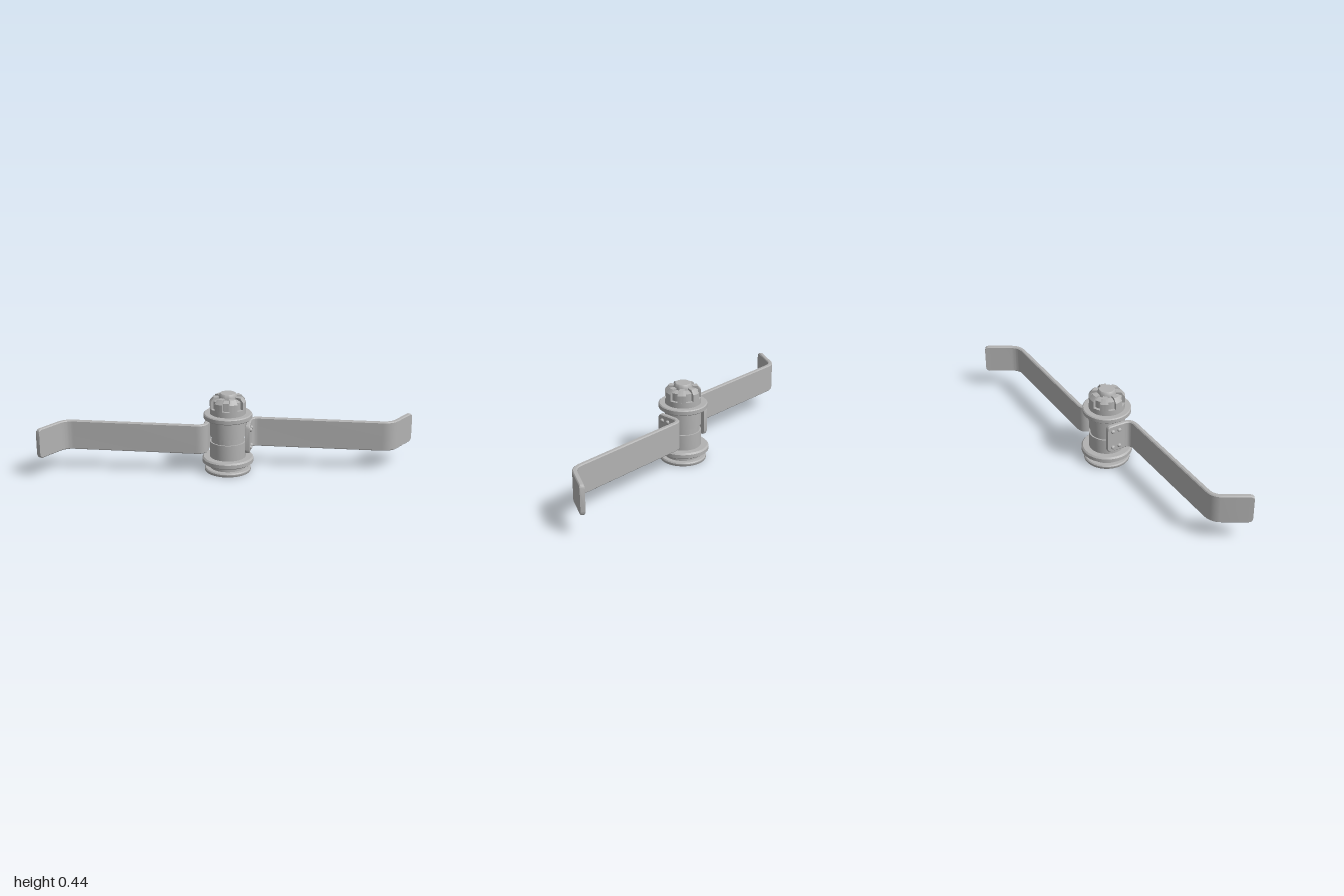
import * as THREE from 'three';
import { toCreasedNormals } from 'three/addons/utils/BufferGeometryUtils.js';

const steel = new THREE.MeshStandardMaterial({ color: 0xb2b2b2 });
steel.name = 'steel';

function part(name, geometry, crease = 0.6) {
  const mesh = new THREE.Mesh(toCreasedNormals(geometry, crease), steel);
  mesh.name = name;
  return mesh;
}

function lathe(name, points, segments = 56) {
  return part(name, new THREE.LatheGeometry(points.map(([r, y]) => new THREE.Vector2(r, y)), segments));
}

// Bent flat bar: an octagonal cross-section swept along a path in x/z, with rounded end corners
function bladeGeometry() {
  const path = new THREE.Path();
  path.moveTo(0.113, 0.065);
  path.lineTo(0.113, -0.034);
  path.quadraticCurveTo(0.113, -0.084, 0.163, -0.084);
  path.lineTo(0.835, -0.084);
  path.quadraticCurveTo(0.884, -0.084, 0.909, -0.126);
  path.lineTo(0.988, -0.26);
  const base = path.getPoints(10);
  const R = 0.02, H = 0.082, t = 0.0125, c = 0.005, yMid = 0.199;

  // stations close to both ends follow a quarter circle in height
  const stations = base.map((p) => ({ p, h: H }));
  const offsets = [0, 1, 2, 3, 4].map((k) => {
    const a = (k / 5) * Math.PI / 2;
    return { d: R * (1 - Math.cos(a)), h: H - R + R * Math.sin(a) };
  }).concat({ d: R, h: H });
  const endStations = (from, to) => {
    const dir = to.clone().sub(from).normalize();
    return offsets.map(({ d, h }) => ({ p: from.clone().addScaledVector(dir, d), h }));
  };
  const n = base.length;
  const all = [
    ...endStations(base[0], base[1]),
    ...stations.slice(1, n - 1),
    ...endStations(base[n - 1], base[n - 2]).reverse(),
  ];

  const pos = [], index = [];
  all.forEach(({ p, h }, i) => {
    const a = all[Math.max(i - 1, 0)].p, b = all[Math.min(i + 1, all.length - 1)].p;
    const tan = b.clone().sub(a).normalize();
    const section = [
      [t, -h + c], [t, h - c], [t - c, h], [c - t, h],
      [-t, h - c], [-t, c - h], [c - t, -h], [t - c, -h],
    ];
    for (const [s, y] of section) pos.push(p.x + tan.y * s, yMid + y, p.y - tan.x * s);
  });
  for (let i = 0; i < all.length - 1; i++) {
    for (let j = 0; j < 8; j++) {
      const a = i * 8 + j, b = i * 8 + (j + 1) % 8;
      index.push(a, b, b + 8, a, b + 8, a + 8);
    }
  }
  const last = (all.length - 1) * 8;
  for (let j = 1; j < 7; j++) index.push(0, j + 1, j, last, last + j, last + j + 1);
  const g = new THREE.BufferGeometry();
  g.setAttribute('position', new THREE.Float32BufferAttribute(pos, 3));
  g.setIndex(index);
  return g;
}

// Lug of the castle nut: radial profile extruded by an angle, then wrapped round the axis
function lugGeometry(angle) {
  const shape = new THREE.Shape([
    [0.05, 0.355], [0.098, 0.355], [0.098, 0.398], [0.079, 0.422], [0.05, 0.422],
  ].map(([r, y]) => new THREE.Vector2(r, y)));
  const g = new THREE.ExtrudeGeometry(shape, { depth: angle, steps: 5, bevelEnabled: false });
  const p = g.attributes.position;
  for (let i = 0; i < p.count; i++) {
    const r = p.getX(i), a = p.getZ(i) - angle / 2;
    p.setXYZ(i, r * Math.cos(a), p.getY(i), r * Math.sin(a));
  }
  return g;
}

export function createModel() {
  const model = new THREE.Group();
  model.name = 'rotorBlade';

  // Hollow sleeve with foot flange, collar and groove
  model.add(lathe('sleeve', [
    [0, 0.27], [0.078, 0.27], [0.078, 0.085], [0.09, 0.08], [0.09, 0.03], [0.106, 0.012], [0.106, 0],
    [0.124, 0], [0.126, 0.003], [0.126, 0.014], [0.121, 0.02], [0.098, 0.02], [0.098, 0.048],
    [0.132, 0.048], [0.14, 0.054], [0.14, 0.074], [0.132, 0.082], [0.098, 0.082],
    [0.098, 0.17], [0.09, 0.17], [0.09, 0.203], [0.098, 0.203], [0.098, 0.305], [0, 0.305],
  ]));

  // Washer under the nut
  model.add(lathe('washer', [
    [0, 0.3], [0.128, 0.3], [0.132, 0.304], [0.132, 0.324], [0.127, 0.329], [0, 0.329],
  ]));

  // Castle nut: base, slotted core, lugs
  model.add(lathe('nutBase', [[0, 0.325], [0.098, 0.325], [0.098, 0.36], [0, 0.36]]));
  model.add(lathe('nutCore', [[0, 0.355], [0.082, 0.355], [0.082, 0.403], [0.06, 0.412], [0, 0.412]]));
  const lugs = new THREE.Group();
  lugs.name = 'nutLugs';
  const count = 7, step = Math.PI * 2 / count;
  const lug = lugGeometry(step * 0.52);
  for (let i = 0; i < count; i++) {
    const m = part('nutLug', lug);
    m.rotation.y = 0.22 + (i + 0.5) * step;
    lugs.add(m);
  }
  model.add(lugs);

  // Spindle end
  model.add(lathe('spindleEnd', [
    [0, 0.4], [0.05, 0.4], [0.05, 0.422], [0.044, 0.438], [0.041, 0.441], [0, 0.441],
  ], 40));

  // Two bent blades with rivets, half a turn apart
  const blade = bladeGeometry();
  const rivet = new THREE.SphereGeometry(0.0115, 20, 12);
  for (const [name, turn] of [['leftBlade', 0], ['rightBlade', Math.PI]]) {
    const arm = new THREE.Group();
    arm.name = name;
    arm.add(part('blade', blade));
    for (const y of [0.147, 0.248]) {
      for (const z of [0.036, -0.004]) {
        const head = part('rivet', rivet, 1);
        head.position.set(0.126, y, z);
        arm.add(head);
      }
    }
    arm.rotation.y = turn;
    model.add(arm);
  }
  return model;
}
